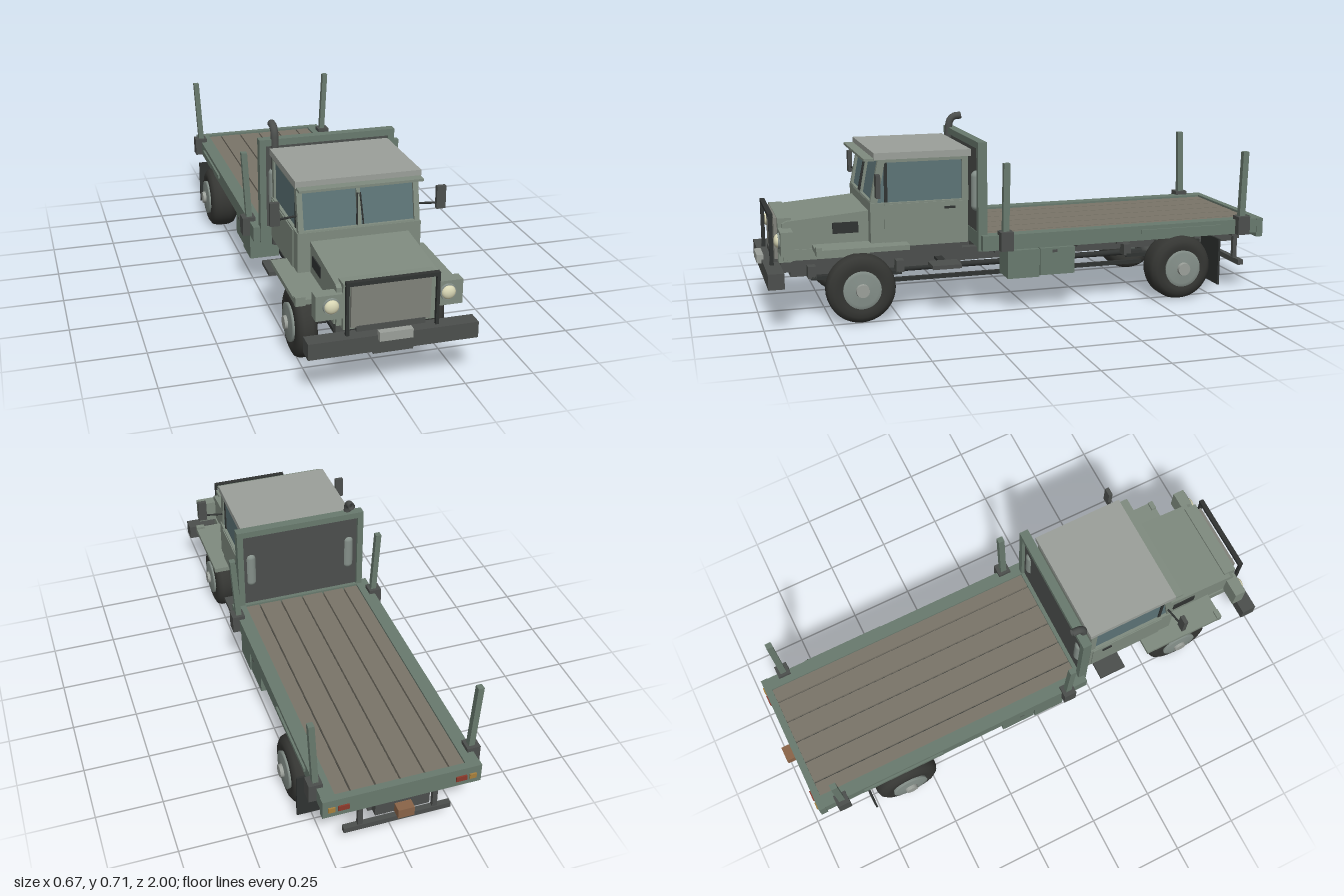
import * as THREE from 'three';

const mat = (color) => new THREE.MeshStandardMaterial({ color });
const M = {
  body: mat(0x7f8b7f), bed: mat(0x697a6e), roof: mat(0x9ba09a), dark: mat(0x4c4f4d), black: mat(0x303332),
  tire: mat(0x353633), rim: mat(0x85908a), wood: mat(0x7a7569), glass: mat(0x5d7477), grille: mat(0x80827a),
  lamp: mat(0xd8d6b4), red: mat(0x8c3a2c), amber: mat(0xa8803c), brown: mat(0x8a6448),
};

export function createModel() {
  const truck = new THREE.Group();
  truck.name = 'flatbedTruck';

  const add = (name, geo, m, parent = truck) => {
    const mesh = new THREE.Mesh(geo, m);
    mesh.name = name;
    parent.add(mesh);
    return mesh;
  };
  // Box given by its limits on each axis
  const box = (name, m, x0, x1, y0, y1, z0, z1) => {
    const b = add(name, new THREE.BoxGeometry(x1 - x0, y1 - y0, z1 - z0), m);
    b.position.set((x0 + x1) / 2, (y0 + y1) / 2, (z0 + z1) / 2);
    return b;
  };
  // Same box on both sides
  const pair = (name, m, x0, x1, ...r) => {
    box(name + 'Left', m, x0, x1, ...r);
    box(name + 'Right', m, -x1, -x0, ...r);
  };
  // Side profile of [z, y] points, extruded between x0 and x1
  const profile = (name, m, x0, x1, pts) => {
    const shape = new THREE.Shape(pts.map(([z, y]) => new THREE.Vector2(z, y)));
    const g = new THREE.ExtrudeGeometry(shape, { depth: x1 - x0, bevelEnabled: false });
    g.rotateY(-Math.PI / 2).translate(x1, 0, 0);
    return add(name, g, m);
  };
  // Round bar between two points
  const rod = (name, m, a, b, r, seg = 12) => {
    const A = new THREE.Vector3(...a), d = new THREE.Vector3(...b).sub(A);
    const mesh = add(name, new THREE.CylinderGeometry(r, r, d.length(), seg), m);
    mesh.position.copy(A).addScaledVector(d, 0.5);
    mesh.quaternion.setFromUnitVectors(new THREE.Vector3(0, 1, 0), d.normalize());
    return mesh;
  };

  // Wheels: lathed tyre, dished rim and hub, axis along x
  const wheel = (name, s, x0, x1, z, rimR, hubOut) => {
    const w = new THREE.Group(), h = (x1 - x0) / 2, R = 0.128;
    w.name = name;
    const v = (pts) => pts.map(([r, y]) => new THREE.Vector2(r, y));
    add('tyre', new THREE.LatheGeometry(v([[0.06, -h * 0.85], [0.085, -h], [0.105, -h * 0.95], [0.121, -h * 0.75],
      [R, -h * 0.4], [R, h * 0.4], [0.121, h * 0.75], [0.105, h * 0.95], [0.085, h], [0.06, h * 0.85]]), 36), M.tire, w);
    add('rim', new THREE.LatheGeometry(v([[0, -h * 0.85], [0.07, -h * 0.85], [0.07, h], [rimR, h + 0.006], [rimR - 0.012, h + 0.004],
      [0.032, h + 0.009], [0, h + 0.009]]), 32), M.rim, w);
    add('hub', new THREE.CylinderGeometry(0.024, 0.027, hubOut, 20), M.roof, w).position.y = h + hubOut / 2;
    w.rotation.z = -s * Math.PI / 2;
    w.position.set(s * (x0 + x1) / 2, R, z);
    truck.add(w);
  };
  for (const [side, s] of [['Left', 1], ['Right', -1]]) {
    wheel('frontWheel' + side, s, 0.193, 0.27, 0.645, 0.07, 0.02);
    wheel('rearWheel' + side, s, 0.2, 0.314, -0.605, 0.072, 0.022);
  }

  // Chassis
  pair('chassisRail', M.dark, 0.08, 0.115, 0.175, 0.225, -0.93, 0.92);
  for (const z of [-0.88, -0.45, -0.2, 0.13, 0.42, 0.85]) box('crossMember', M.dark, -0.08, 0.08, 0.18, 0.22, z - 0.02, z + 0.02);
  for (const z of [0.645, -0.605]) {
    rod('axle', M.dark, [-0.22, 0.128, z], [0.22, 0.128, z], 0.02);
    const d = add('differential', new THREE.SphereGeometry(0.042, 20, 14), M.dark);
    d.position.set(0, 0.132, z);
    pair('leafSpring', M.black, 0.125, 0.155, 0.148, 0.162, z - 0.17, z + 0.17);
    pair('springHanger', M.dark, 0.11, 0.155, 0.155, 0.2, z - 0.18, z - 0.15);
    pair('springHangerFore', M.dark, 0.11, 0.155, 0.155, 0.2, z + 0.15, z + 0.18);
  }
  rod('driveShaft', M.black, [0, 0.13, -0.6], [0, 0.13, 0.64], 0.012);
  pair('sideRod', M.black, 0.14, 0.155, 0.12, 0.135, -0.5, 0.55);
  box('engineSump', M.dark, -0.07, 0.07, 0.145, 0.25, 0.55, 0.88);
  box('gearbox', M.dark, -0.055, 0.055, 0.15, 0.24, 0.22, 0.55);

  // Front bumper and plate
  box('frontBumper', M.dark, -0.295, 0.295, 0.16, 0.218, 0.925, 0.983);
  box('bumperPlate', M.roof, -0.058, 0.058, 0.203, 0.235, 0.975, 1.0);
  box('bumperUnderside', M.dark, -0.07, 0.07, 0.145, 0.16, 0.93, 0.97);

  // Hood, grille and brush guard
  profile('hood', M.body, -0.18, 0.18, [[0.59, 0.25], [0.915, 0.235], [0.915, 0.372], [0.9, 0.38], [0.59, 0.405]]);
  box('hoodNose', M.body, -0.162, 0.162, 0.225, 0.39, 0.88, 0.93);
  box('grille', M.grille, -0.138, 0.138, 0.235, 0.388, 0.925, 0.942);
  box('lowerGrille', M.dark, -0.12, 0.12, 0.22, 0.24, 0.92, 0.945);
  pair('guardPost', M.black, 0.15, 0.161, 0.215, 0.4, 0.948, 0.962);
  box('guardTopBar', M.black, -0.161, 0.161, 0.394, 0.408, 0.945, 0.963);
  pair('hoodVent', M.black, 0.178, 0.184, 0.325, 0.366, 0.64, 0.735);

  // Fenders, lamp housings and headlights
  pair('fender', M.body, 0.15, 0.29, 0.272, 0.29, 0.47, 0.81);
  pair('fenderLip', M.body, 0.255, 0.29, 0.268, 0.3, 0.79, 0.81);
  pair('fenderInner', M.body, 0.15, 0.185, 0.235, 0.275, 0.5, 0.9);
  pair('lampHousing', M.body, 0.155, 0.255, 0.268, 0.356, 0.885, 0.93);
  for (const s of [1, -1]) {
    const ring = add('headlightRim', new THREE.CylinderGeometry(0.028, 0.03, 0.008, 28), M.rim);
    ring.rotation.x = Math.PI / 2;
    ring.position.set(s * 0.202, 0.317, 0.932);
    const lamp = add('headlight', new THREE.SphereGeometry(0.025, 24, 16), M.lamp);
    lamp.scale.z = 0.6;
    lamp.position.set(s * 0.202, 0.317, 0.935);
  }

  // Cab: lower body, glass block inside a frame, roof
  box('cabBody', M.body, -0.226, 0.226, 0.272, 0.437, 0.235, 0.602);
  pair('doorPanel', M.body, 0.225, 0.23, 0.285, 0.432, 0.245, 0.55);
  pair('doorHandle', M.black, 0.229, 0.236, 0.406, 0.414, 0.285, 0.325);
  box('cabFloor', M.dark, -0.19, 0.19, 0.235, 0.272, 0.25, 0.6);
  profile('cabGlass', M.glass, -0.214, 0.214, [[0.245, 0.43], [0.592, 0.43], [0.56, 0.6], [0.245, 0.6]]);
  box('cabBackWall', M.body, -0.222, 0.222, 0.43, 0.6, 0.232, 0.25);
  const pillar = [[0.575, 0.435], [0.602, 0.435], [0.569, 0.6], [0.542, 0.6]];
  const screenBar = [[0.588, 0.435], [0.602, 0.435], [0.569, 0.6], [0.555, 0.6]];
  profile('windshieldDivider', M.body, -0.007, 0.007, screenBar);
  profile('windshieldSill', M.body, -0.222, 0.222, [[0.58, 0.43], [0.602, 0.43], [0.6, 0.443], [0.58, 0.443]]);
  for (const s of [1, -1]) {
    const a = s > 0 ? 0.202 : -0.222;
    profile('frontPillar', M.body, a, a + 0.02, pillar);
    rod('wiper', M.black, [s * 0.012, 0.45, 0.604], [s * 0.005, 0.56, 0.583], 0.003, 6);
  }
  pair('rearPillar', M.body, 0.2, 0.222, 0.43, 0.6, 0.235, 0.256);
  pair('windowHeader', M.body, 0.2, 0.222, 0.585, 0.6, 0.235, 0.56);
  pair('windowFrame', M.black, 0.21, 0.218, 0.437, 0.588, 0.536, 0.548);
  box('roof', M.roof, -0.228, 0.228, 0.597, 0.622, 0.222, 0.585);
  box('sunVisor', M.body, -0.225, 0.225, 0.593, 0.602, 0.57, 0.622);

  // Mirrors and cab steps
  for (const s of [1, -1]) rod('mirrorArm', M.black, [s * 0.215, 0.492, 0.57], [s * 0.3, 0.492, 0.587], 0.004, 8);
  pair('mirror', M.dark, 0.286, 0.32, 0.472, 0.557, 0.58, 0.596);
  pair('cabStep', M.dark, 0.19, 0.276, 0.185, 0.2, 0.272, 0.382);
  pair('stepBracket', M.black, 0.11, 0.2, 0.188, 0.198, 0.31, 0.34);

  // Headboard behind the cab
  pair('headboardPost', M.bed, 0.238, 0.262, 0.24, 0.65, 0.17, 0.205);
  box('headboardTop', M.bed, -0.262, 0.262, 0.625, 0.65, 0.17, 0.205);
  box('headboardPanel', M.dark, -0.24, 0.24, 0.29, 0.63, 0.183, 0.193);
  for (const s of [1, -1]) {
    const c = add('airCylinder', new THREE.CapsuleGeometry(0.022, 0.11, 6, 16), M.rim);
    c.position.set(s * 0.205, 0.46, 0.195);
  }

  // Exhaust stack with a rearward bend
  const stack = new THREE.CatmullRomCurve3([[0.2, 0.23], [0.2, 0.45], [0.2, 0.64], [0.195, 0.675], [0.18, 0.692], [0.15, 0.696]]
    .map(([z, y]) => new THREE.Vector3(-0.203, y, z)));
  const pipe = M.dark.clone();
  pipe.side = THREE.DoubleSide;
  add('exhaustStack', new THREE.TubeGeometry(stack, 40, 0.0145, 16), pipe);

  // Flat bed: frame, planks and cross beams
  pair('bedSideRail', M.bed, 0.238, 0.288, 0.245, 0.302, -0.945, 0.195);
  box('bedFrontRail', M.bed, -0.262, 0.262, 0.245, 0.302, 0.168, 0.195);
  box('bedRearRail', M.bed, -0.29, 0.29, 0.228, 0.302, -0.962, -0.935);
  box('bedUnderlay', M.black, -0.24, 0.24, 0.262, 0.28, -0.94, 0.17);
  for (let i = 0; i < 6; i++) {
    const x = -0.27 + i * 0.09;
    box('plank', M.wood, x + 0.003, x + 0.087, 0.275, 0.294, -0.935, 0.168);
  }
  for (let i = 0; i < 7; i++) box('bedBeam', M.dark, -0.24, 0.24, 0.225, 0.263, -0.88 + i * 0.165, -0.855 + i * 0.165);
  pair('rearFenderStrip', M.bed, 0.285, 0.296, 0.272, 0.287, -0.775, -0.44);

  // Stakes leaning outward from their sockets
  for (const z of [0.107, -0.867]) for (const s of [1, -1]) {
    box('stakeSocket', M.dark, s * 0.29 - 0.025, s * 0.29 + 0.025, 0.245, 0.317, z - 0.025, z + 0.025);
    const g = new THREE.BoxGeometry(0.022, 0.32, 0.024);
    const p = g.attributes.position;
    for (let i = 0; i < p.count; i++) p.setX(i, p.getX(i) + s * 0.055 * p.getY(i));
    add('stake', g, M.bed).position.set(s * 0.292, 0.415, z);
  }

  // Storage boxes, mud flaps and rear underrun bar
  pair('storageBox', M.bed, 0.165, 0.28, 0.13, 0.238, -0.03, 0.095);
  pair('storageBoxRear', M.bed, 0.165, 0.276, 0.134, 0.238, -0.172, -0.034);
  pair('boxLatch', M.dark, 0.279, 0.284, 0.222, 0.232, -0.1, -0.08);
  pair('mudFlap', M.black, 0.163, 0.318, 0.052, 0.235, -0.764, -0.756);
  pair('underrunHanger', M.dark, 0.13, 0.148, 0.1, 0.23, -0.927, -0.91);
  box('underrunBar', M.dark, -0.2, 0.2, 0.092, 0.113, -0.93, -0.908);

  // Tail lamps and tow hitch
  pair('tailLampOuter', M.amber, 0.245, 0.27, 0.252, 0.272, -0.968, -0.96);
  pair('tailLampInner', M.red, 0.195, 0.235, 0.252, 0.272, -0.968, -0.96);
  box('towHitch', M.brown, -0.03, 0.03, 0.18, 0.218, -1.0, -0.962);
  box('hitchBeam', M.dark, -0.1, 0.1, 0.18, 0.228, -0.962, -0.93);

  return truck;
}
